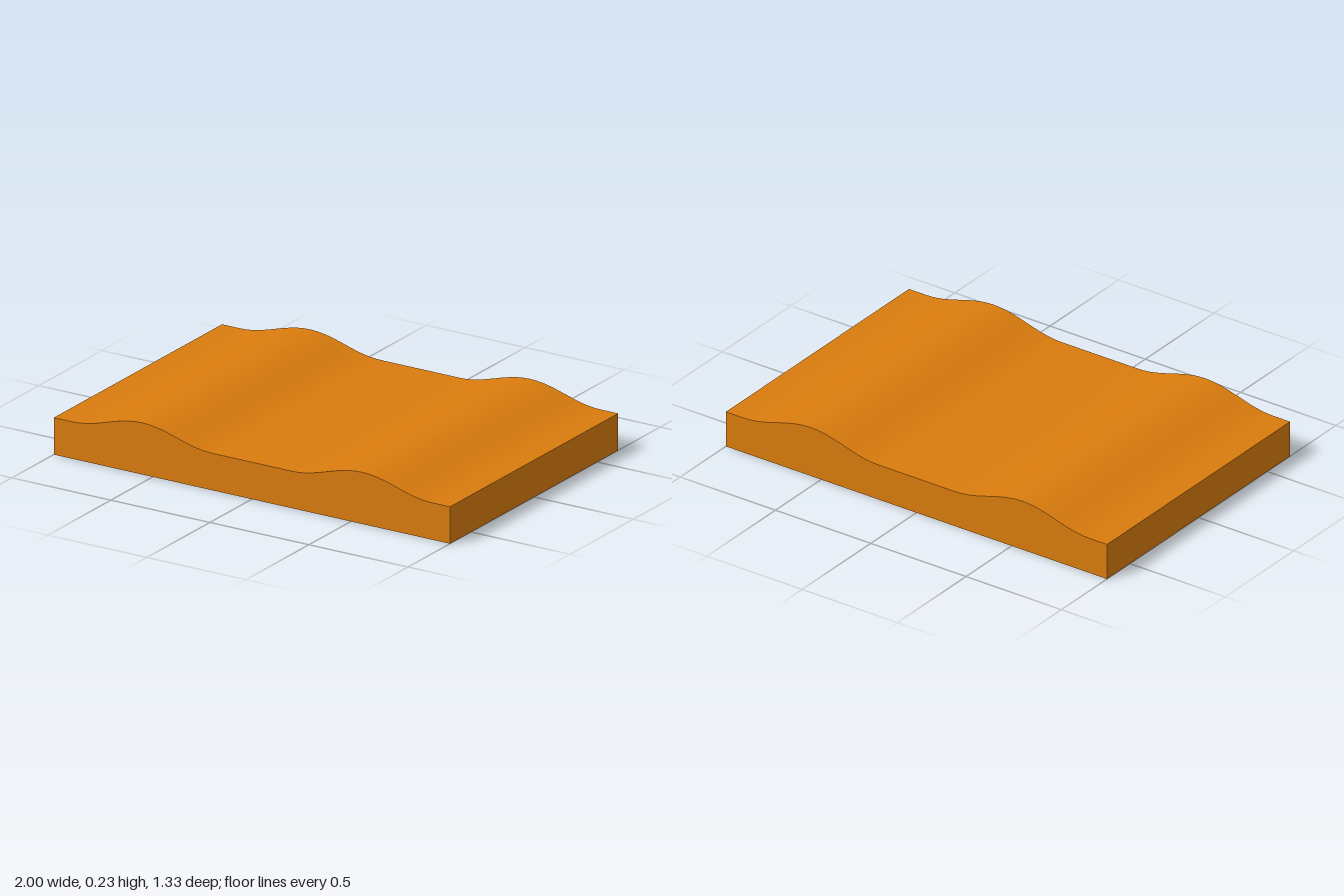
import * as THREE from 'three';
import { toCreasedNormals } from 'three/addons/utils/BufferGeometryUtils.js';

const BASE = 0.168, RISE = 0.067, DEPTH = 1.334;
const PEAK = 0.555, HALF = 0.355, STEPS = 24;

// Smooth raised-cosine hump centred on cx, drawn from right to left
function addHump(shape, cx) {
  for (let i = 0; i <= STEPS; i++) {
    const t = 1 - (2 * i) / STEPS;
    shape.lineTo(cx + t * HALF, BASE + (RISE * (1 + Math.cos(Math.PI * t))) / 2);
  }
}

export function createModel() {
  const group = new THREE.Group();
  group.name = 'wavyPanel';

  // Slab cross-section: flat base, two humps on top
  const profile = new THREE.Shape();
  profile.moveTo(-1, 0);
  profile.lineTo(1, 0);
  profile.lineTo(1, BASE);
  addHump(profile, PEAK);
  addHump(profile, -PEAK);
  profile.lineTo(-1, BASE);
  profile.closePath();

  const solid = new THREE.ExtrudeGeometry(profile, { depth: DEPTH, bevelEnabled: false });
  solid.translate(0, 0, -DEPTH / 2);

  // Smooth over the waves, sharp at the slab edges
  const slab = new THREE.Mesh(
    toCreasedNormals(solid, 0.5),
    new THREE.MeshStandardMaterial({ color: 0xd97b0d })
  );
  slab.name = 'wavySlab';
  group.add(slab);
  return group;
}
